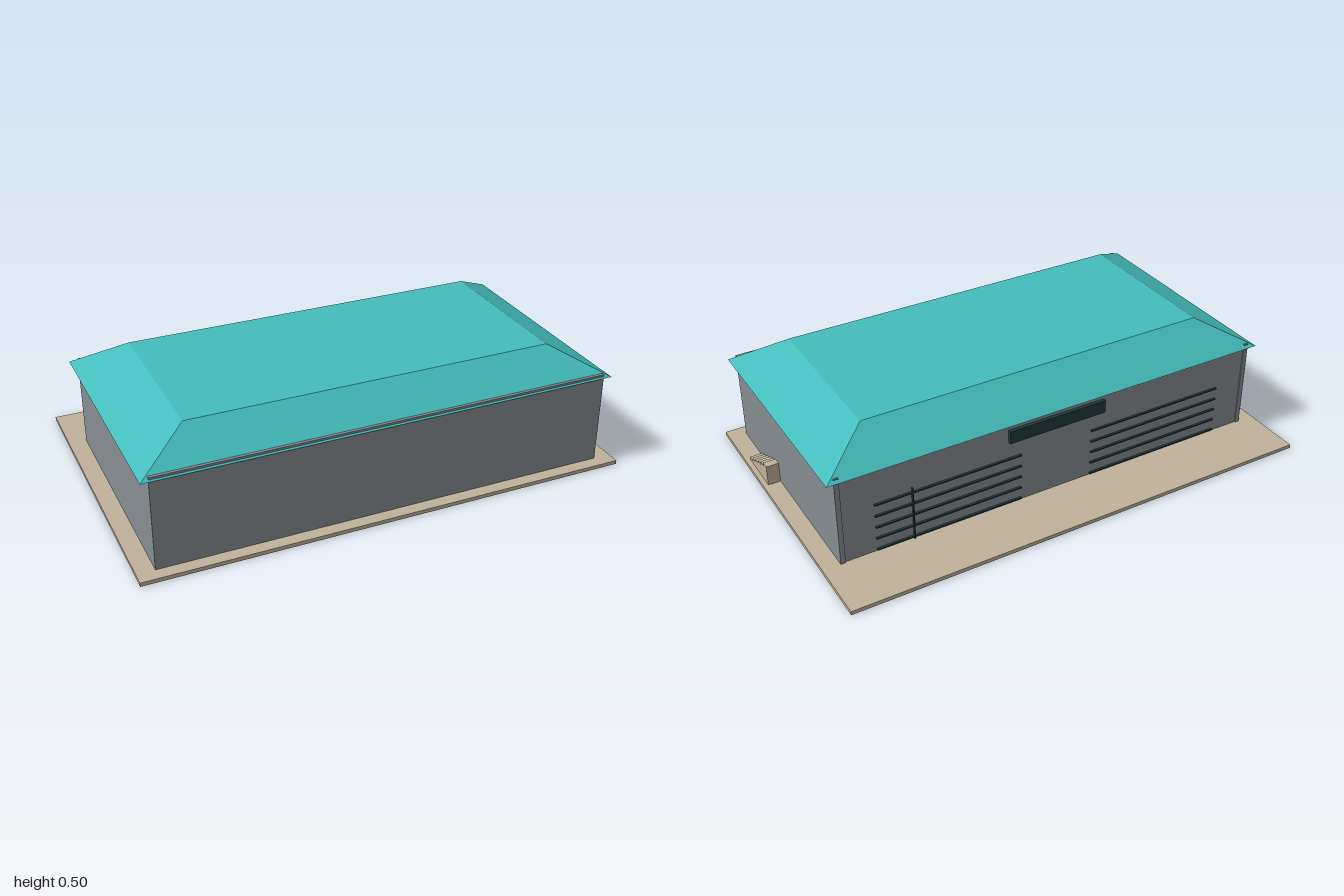
import * as THREE from 'three';
import { ConvexGeometry } from 'three/addons/geometries/ConvexGeometry.js';

const material = (name, color) => {
  const m = new THREE.MeshStandardMaterial({ color });
  m.name = name;
  return m;
};

export function createModel() {
  const model = new THREE.Group();
  model.name = 'hall';
  const tan = material('tan concrete', 0xbfb29a);
  const grey = material('grey wall', 0x878d92);
  const teal = material('teal roof', 0x44bcbc);
  const dark = material('dark trim', 0x21393c);

  // Box given by its limits on each axis
  const box = (name, mat, [x0, x1], [y0, y1], [z0, z1]) => {
    const mesh = new THREE.Mesh(new THREE.BoxGeometry(x1 - x0, y1 - y0, z1 - z0), mat);
    mesh.position.set((x0 + x1) / 2, (y0 + y1) / 2, (z0 + z1) / 2);
    mesh.name = name;
    model.add(mesh);
  };

  const ground = 0.016;
  const wallY = [ground, 0.4];
  box('baseSlab', tan, [-1, 1], [0, ground], [-0.64, 0.64]);

  // Walls: the front one rises slightly through the eave
  box('frontWall', grey, [-0.928, 0.928], wallY, [0.565, 0.588]);
  box('backWall', grey, [-0.91, 0.91], [ground, 0.394], [-0.387, -0.365]);
  box('rightWall', grey, [0.908, 0.928], wallY, [-0.392, 0.565]);
  box('leftWall', grey, [-0.928, -0.908], wallY, [-0.392, 0.565]);

  // Hipped roof with a flat top
  const corners = [];
  for (const sx of [-1, 1]) {
    for (const z of [-0.405, 0.595]) corners.push(new THREE.Vector3(sx * 0.96, 0.386, z));
    for (const z of [-0.245, 0.435]) corners.push(new THREE.Vector3(sx * 0.75, 0.502, z));
  }
  const roof = new THREE.Mesh(new ConvexGeometry(corners), teal);
  roof.name = 'roof';
  model.add(roof);

  // Side stair climbing towards the back
  const steps = 6, run = 0.2 / steps, rise = 0.088 / steps;
  for (let i = 0; i < steps; i++) {
    const front = 0.397 - i * run;
    box('stairStep', tan, [0.928, 0.98], [ground, ground + (i + 1) * rise], [front - run, front]);
  }

  // Back wall details: sign panel, two sets of rails and one upright
  box('backPanel', dark, [-0.215, 0.215], [0.305, 0.36], [-0.402, -0.387]);
  for (const [x0, x1] of [[0.16, 0.78], [-0.78, -0.16]]) {
    for (let i = 0; i < 5; i++) {
      const y = 0.025 + i * 0.051;
      box('backRail', dark, [x0, x1], [y - 0.003, y + 0.003], [-0.396, -0.387]);
    }
  }
  box('backUpright', dark, [0.623, 0.628], [ground, 0.25], [-0.397, -0.387]);

  return model;
}
